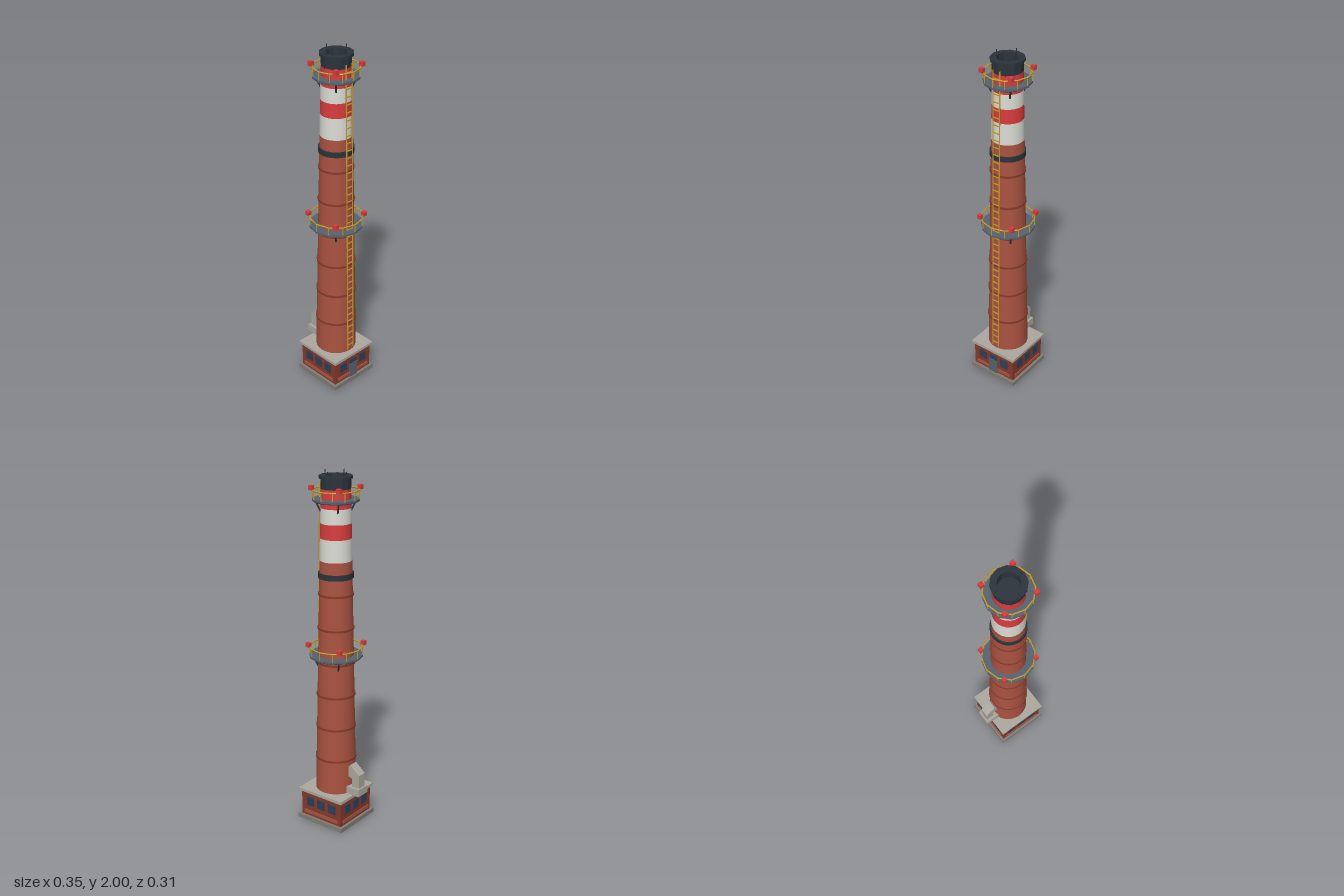
import * as THREE from 'three';

const CX = 0.018; // the stack stands slightly off centre because of the side duct
const mat = (name, color) => {
  const m = new THREE.MeshStandardMaterial({ color });
  m.name = name;
  return m;
};
// stack radius at a given height
const radius = (y) => 0.116 - (y - 0.19) * 0.0211;
const flat = (g) => {
  const f = g.index ? g.toNonIndexed() : g;
  f.computeVertexNormals();
  return f;
};

export function createModel() {
  const brick = mat('brick', 0xaa5340);
  const darkBrick = mat('dark brick', 0x863a2b);
  const white = mat('white paint', 0xdcdcd6);
  const red = mat('red paint', 0xd83c3c);
  const iron = mat('dark iron', 0x2b333b);
  const slate = mat('slate steel', 0x566270);
  const gold = mat('yellow rail', 0xc39a28);
  const concrete = mat('concrete', 0xaca89e);
  const plinthGrey = mat('plinth grey', 0x807c74);
  const glass = mat('window glass', 0x2d4058);

  const model = new THREE.Group();
  model.name = 'chimney';
  const stack = new THREE.Group();
  stack.name = 'stack';
  stack.position.x = CX;
  model.add(stack);

  const add = (parent, name, geo, material, x = 0, y = 0, z = 0) => {
    const mesh = new THREE.Mesh(geo, material);
    mesh.name = name;
    mesh.position.set(x, y, z);
    parent.add(mesh);
    return mesh;
  };
  const box = (parent, name, w, h, d, material, x, y, z) =>
    add(parent, name, new THREE.BoxGeometry(w, h, d), material, x, y, z);
  // thin bar between two points
  const bar = (parent, name, a, b, r, material) => {
    const dir = b.clone().sub(a);
    const mesh = add(parent, name, flat(new THREE.CylinderGeometry(r, r, dir.length(), 6)), material);
    mesh.position.copy(a).add(b).multiplyScalar(0.5);
    mesh.quaternion.setFromUnitVectors(new THREE.Vector3(0, 1, 0), dir.normalize());
    return mesh;
  };
  const polar = (r, a, y) => new THREE.Vector3(r * Math.cos(a), y, r * Math.sin(a));

  // base building
  box(stack, 'plinth', 0.312, 0.025, 0.312, plinthGrey, 0, 0.0125, 0);
  box(stack, 'baseWalls', 0.28, 0.15, 0.28, darkBrick, 0, 0.1, 0);
  box(stack, 'roofSlab', 0.304, 0.017, 0.304, concrete, 0, 0.1825, 0);
  for (let i = 0; i < 4; i++) {
    const side = new THREE.Group();
    side.name = 'wallDetails';
    side.rotation.y = (i * Math.PI) / 2;
    stack.add(side);
    for (const x of [-0.077, 0, 0.077]) {
      box(side, 'window', 0.05, 0.055, 0.008, glass, x, 0.118, 0.141);
    }
    box(side, 'brickCourse', 0.24, 0.018, 0.008, brick, 0, 0.05, 0.141);
    if (i === 1) box(side, 'door', 0.06, 0.092, 0.009, slate, 0, 0.071, 0.144);
  }

  // tapered stack, painted in sections
  const sections = [
    ['brickShaft', 0.19, 1.53, brick],
    ['lowerWhiteBand', 1.53, 1.65, white],
    ['lowerRedBand', 1.65, 1.73, red],
    ['upperWhiteBand', 1.73, 1.81, white],
    ['upperRedBand', 1.81, 1.91, red],
  ];
  for (const [name, y0, y1, m] of sections) {
    add(stack, name, new THREE.CylinderGeometry(radius(y1), radius(y0), y1 - y0, 24, 1, true), m, 0, (y0 + y1) / 2);
  }

  // raised rings
  for (const y of [0.39, 0.58, 0.77, 0.96, 1.155, 1.345]) {
    const r = radius(y) + 0.005;
    add(stack, 'brickRing', new THREE.CylinderGeometry(r, r, 0.011, 24), darkBrick, 0, y);
  }
  add(stack, 'ironBand', new THREE.CylinderGeometry(0.096, 0.096, 0.03, 24), iron, 0, 1.45);

  // cap with hollow mouth
  const capProfile = [
    [0.08, 1.905], [0.081, 1.963], [0.09, 1.963], [0.09, 1.977],
    [0.057, 1.977], [0.057, 1.92], [0, 1.92],
  ].map(([x, y]) => new THREE.Vector2(x, y));
  add(stack, 'cap', flat(new THREE.LatheGeometry(capProfile, 12)), iron);
  for (let i = 0; i < 4; i++) {
    const a = (i * Math.PI) / 2;
    bar(stack, 'lightningRod', polar(0.07, a, 1.97), polar(0.07, a, 2), 0.0025, iron);
  }

  // walkways with railing, struts and warning lamps
  const platform = (name, y, r, strutOut, strutIn) => {
    const g = new THREE.Group();
    g.name = name;
    stack.add(g);
    add(g, 'deck', flat(new THREE.CylinderGeometry(r, r, 0.011, 12)), slate, 0, y - 0.0055);
    const skirt = r - 0.008;
    add(g, 'deckFrame', flat(new THREE.CylinderGeometry(skirt, skirt, 0.006, 12)), iron, 0, y - 0.013);
    const rail = flat(new THREE.TorusGeometry(r - 0.002, 0.004, 6, 12).rotateX(Math.PI / 2));
    add(g, 'handrail', rail, gold, 0, y + 0.045);
    for (let i = 0; i < 12; i++) {
      const a = (i * Math.PI) / 6;
      bar(g, 'railPost', polar(r - 0.003, a, y), polar(r - 0.003, a, y + 0.045), 0.003, gold);
    }
    for (let i = 0; i < 4; i++) {
      const a = Math.PI / 4 + (i * Math.PI) / 2;
      bar(g, 'strut', polar(strutOut, a, y - 0.01), polar(strutIn, a, y - 0.065), 0.005, iron);
      const p = polar(r + 0.003, a, y + 0.058);
      box(g, 'warningLamp', 0.023, 0.024, 0.023, red, p.x, p.y, p.z);
    }
  };
  platform('lowerPlatform', 1.0, 0.149, 0.125, 0.099);
  platform('upperPlatform', 1.857, 0.126, 0.108, 0.08);

  // ladder leaning along the stack
  const ladder = new THREE.Group();
  ladder.name = 'ladder';
  stack.add(ladder);
  const ladderX = (y) => 0.12 - (y - 0.21) * 0.0173;
  for (const z of [-0.021, 0.021]) {
    bar(ladder, 'ladderRail', new THREE.Vector3(ladderX(0.21), 0.21, z),
      new THREE.Vector3(ladderX(1.935), 1.935, z), 0.0035, gold);
  }
  for (let y = 0.235; y < 1.93; y += 0.0425) {
    box(ladder, 'rung', 0.005, 0.005, 0.042, gold, ladderX(y), y, 0);
  }

  // flue duct on the side
  const duct = new THREE.Group();
  duct.name = 'flueDuct';
  model.add(duct);
  box(duct, 'ductBase', 0.085, 0.044, 0.086, concrete, -0.1325, 0.213, 0);
  const elbow = new THREE.Shape([
    [-0.165, 0.23], [-0.115, 0.23], [-0.115, 0.285], [-0.085, 0.295],
    [-0.085, 0.345], [-0.104, 0.366], [-0.166, 0.315],
  ].map(([x, y]) => new THREE.Vector2(x, y)));
  add(duct, 'ductElbow', new THREE.ExtrudeGeometry(elbow, { depth: 0.054, bevelEnabled: false }), concrete, 0, 0, -0.027);

  return model;
}
